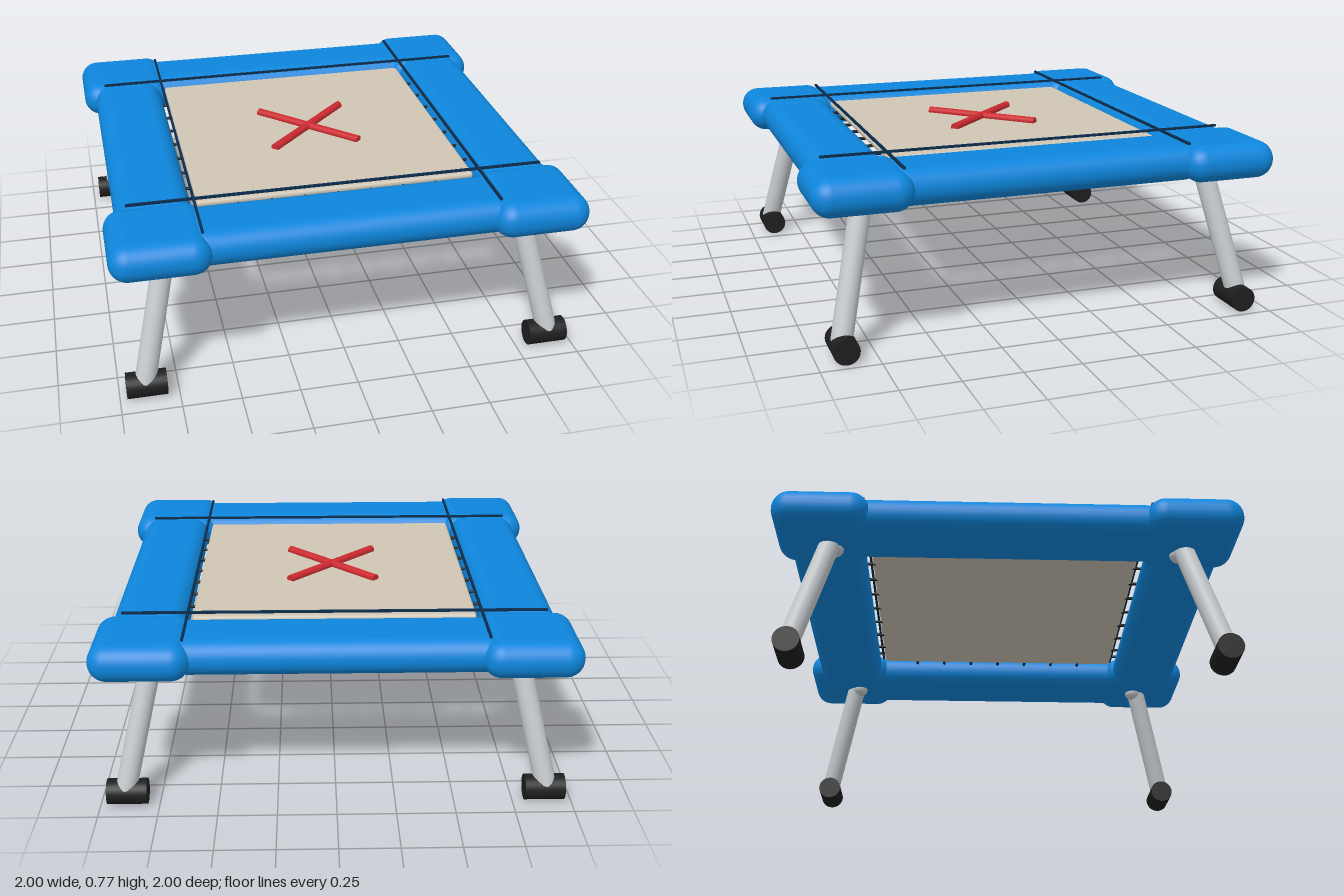
import * as THREE from 'three';
import { RoundedBoxGeometry } from 'three/addons/geometries/RoundedBoxGeometry.js';

const material = (name, color) => {
  const m = new THREE.MeshStandardMaterial({ color });
  m.name = name;
  return m;
};

export function createModel() {
  const blue = material('blue padding', 0x0e86dc);
  const navy = material('navy piping', 0x0a2c4c);
  const cream = material('cream fabric', 0xcfc6b5);
  const red = material('red marking', 0xcc2a30);
  const silver = material('silver metal', 0xc6cbce);
  const black = material('black rubber', 0x1e1e1e);

  const model = new THREE.Group();
  model.name = 'squareTrampoline';

  const add = (name, geometry, mat, x, y, z, parent = model) => {
    const mesh = new THREE.Mesh(geometry, mat);
    mesh.name = name;
    mesh.position.set(x, y, z);
    parent.add(mesh);
    return mesh;
  };

  // Cylinder running between two points
  const rod = (name, a, b, radius, mat, parent) => {
    const dir = b.clone().sub(a);
    const mesh = add(name, new THREE.CylinderGeometry(radius, radius, dir.length(), 24), mat, 0, 0, 0, parent);
    mesh.position.copy(a).add(b).multiplyScalar(0.5);
    mesh.quaternion.setFromUnitVectors(new THREE.Vector3(0, 1, 0), dir.normalize());
    return mesh;
  };
  const V = (x, y, z) => new THREE.Vector3(x, y, z);

  // Jumping mat with crossed centre marking
  add('mat', new RoundedBoxGeometry(1.21, 0.03, 1.21, 3, 0.014), cream, 0, 0.72, 0);
  for (const s of [-1, 1]) {
    rod('crossBar', V(-0.195, 0.741, -0.195 * s), V(0.195, 0.741, 0.195 * s), 0.019, red);
  }

  // Four sides: pad, piping and springs, each turned about the centre
  const padGeometry = new RoundedBoxGeometry(1.36, 0.154, 0.322, 8, 0.076);
  const pipingGeometry = new THREE.BoxGeometry(1.8, 0.01, 0.01);
  const springGeometry = new THREE.CylinderGeometry(0.007, 0.007, 0.07, 8).rotateX(Math.PI / 2);
  for (let i = 0; i < 4; i++) {
    const side = new THREE.Group();
    side.name = 'side';
    side.rotation.y = i * Math.PI / 2;
    add('sidePad', padGeometry, blue, 0, 0.68, 0.786, side);
    add('piping', pipingGeometry, navy, 0, 0.763, 0.62, side);
    for (let k = -3; k <= 3; k++) {
      add('spring', springGeometry, black, k * 0.144, 0.71, 0.628, side);
    }
    model.add(side);
  }

  // Four corners: pad, splayed leg with socket, and foot
  const cornerGeometry = new RoundedBoxGeometry(0.412, 0.16, 0.412, 8, 0.078);
  const socketGeometry = new THREE.SphereGeometry(0.04, 20, 14);
  const footGeometry = new THREE.CylinderGeometry(0.055, 0.055, 0.17, 28).rotateZ(Math.PI / 2);
  for (const sx of [-1, 1]) {
    for (const sz of [-1, 1]) {
      const corner = new THREE.Group();
      corner.name = 'corner';
      add('cornerPad', cornerGeometry, blue, sx * 0.794, 0.68, sz * 0.794, corner);
      rod('leg', V(sx * 0.89, 0.07, sz * 0.89), V(sx * 0.756, 0.65, sz * 0.756), 0.045, silver, corner);
      add('legSocket', socketGeometry, silver, sx * 0.745, 0.603, sz * 0.745, corner);
      add('foot', footGeometry, black, sx * 0.885, 0.055, sz * 0.885, corner);
      model.add(corner);
    }
  }

  return model;
}
